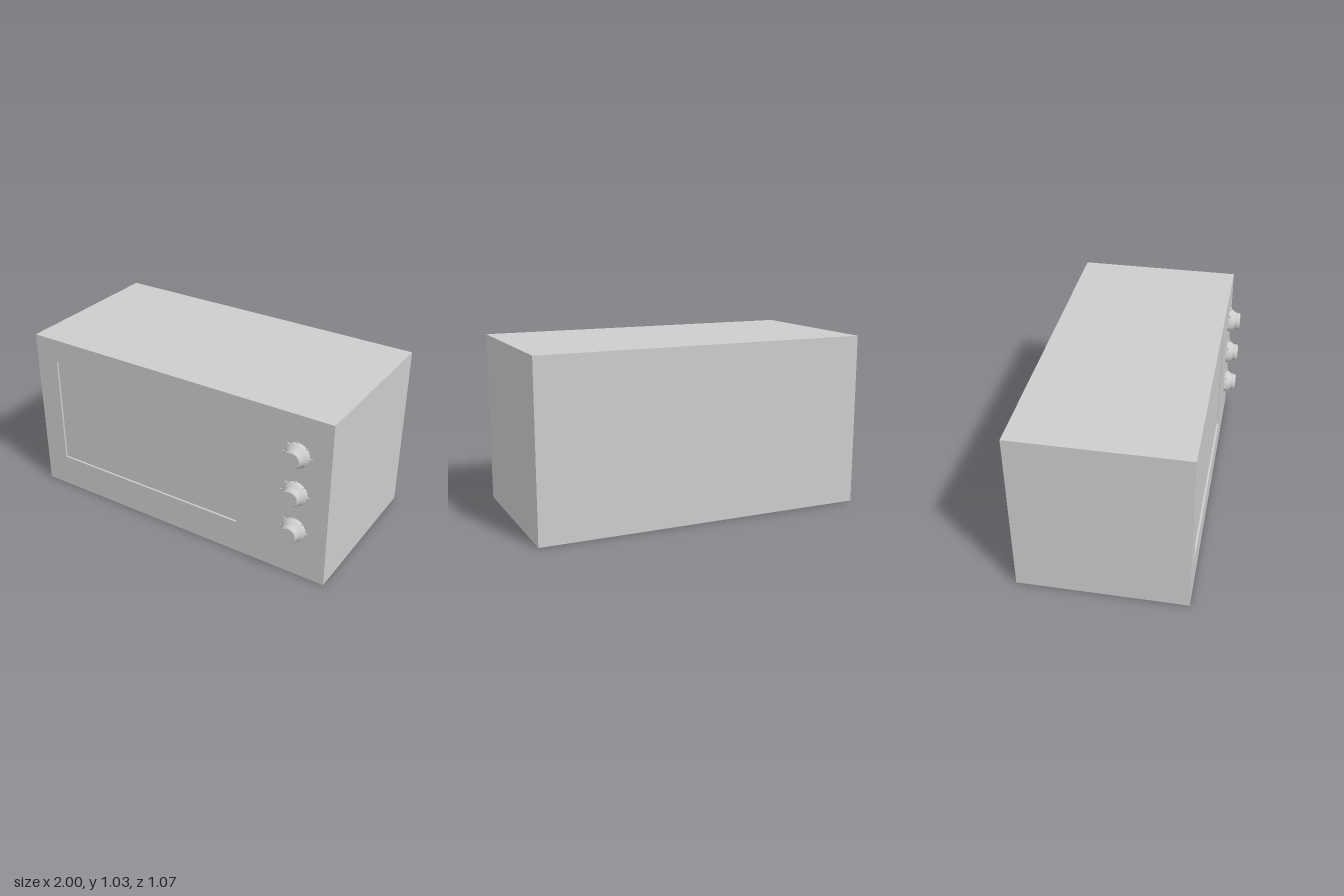
import * as THREE from 'three';

const WIDTH = 2, HEIGHT = 1.027, BACK = -0.533, FRONT = 0.463;
const DOOR = { x0: -0.85, x1: 0.43, y0: 0.205, y1: 0.887, depth: 0.012 };

// Box with one of its six faces left out (0 +x, 1 -x, 2 +y, 3 -y, 4 +z, 5 -z)
function openBox(w, h, d, face) {
  const geo = new THREE.BoxGeometry(w, h, d);
  const index = Array.from(geo.index.array);
  index.splice(face * 6, 6);
  geo.setIndex(index);
  geo.clearGroups();
  return geo;
}

export function createModel() {
  const grey = new THREE.MeshStandardMaterial({ color: 0xcccccc });
  grey.name = 'light grey';
  const model = new THREE.Group();
  model.name = 'microwaveOven';

  const add = (parent, name, geo, x = 0, y = 0, z = 0) => {
    const mesh = new THREE.Mesh(geo, grey);
    mesh.name = name;
    mesh.position.set(x, y, z);
    parent.add(mesh);
    return mesh;
  };

  // Casing, open at the front
  add(model, 'casing', openBox(WIDTH, HEIGHT, FRONT - BACK, 4), 0, HEIGHT / 2, (FRONT + BACK) / 2);

  // Front panel with an opening for the door
  const panel = new THREE.Shape();
  panel.moveTo(-1, 0).lineTo(1, 0).lineTo(1, HEIGHT).lineTo(-1, HEIGHT).closePath();
  const hole = new THREE.Path();
  hole.moveTo(DOOR.x0, DOOR.y0).lineTo(DOOR.x0, DOOR.y1).lineTo(DOOR.x1, DOOR.y1).lineTo(DOOR.x1, DOOR.y0).closePath();
  panel.holes.push(hole);
  add(model, 'frontPanel', new THREE.ShapeGeometry(panel), 0, 0, FRONT);

  // Shallow door recess: a box turned inside out, open to the front
  const recess = openBox(DOOR.x1 - DOOR.x0, DOOR.y1 - DOOR.y0, DOOR.depth, 5);
  recess.scale(1, 1, -1);
  recess.computeVertexNormals();
  add(model, 'doorRecess', recess, (DOOR.x0 + DOOR.x1) / 2, (DOOR.y0 + DOOR.y1) / 2, FRONT - DOOR.depth / 2);

  // Knob outline (radius, distance from panel); repeated points keep edges sharp
  const side = [[0.073, 0], [0.073, 0.014], [0.069, 0.021], [0.0535, 0.043]];
  const grip = [[0.0535, 0.043], [0.0535, 0.06]];
  const bevel = [[0.0535, 0.06], [0.046, 0.072]];
  const cap = [[0.046, 0.072], [0, 0.072]];
  const spike = new THREE.ConeGeometry(Math.SQRT1_2, 1, 4, 1).rotateY(Math.PI / 4).toNonIndexed();
  spike.scale(0.012, 0.04, 0.015);
  spike.computeVertexNormals();

  for (const y of [0.79, 0.547, 0.307]) {
    const knob = new THREE.Group();
    knob.name = 'knob';
    knob.position.set(0.8, y, FRONT);
    model.add(knob);
    Object.entries({ side, grip, bevel, cap }).forEach(([name, pts]) => {
      const geo = new THREE.LatheGeometry(pts.map(([r, h]) => new THREE.Vector2(r, h)), 32);
      add(knob, 'knob' + name[0].toUpperCase() + name.slice(1), geo.rotateX(Math.PI / 2));
    });
    // Five pointed markers fanned over the upper half
    for (let i = 0; i < 5; i++) {
      const a = (i * Math.PI) / 4;
      const marker = add(knob, 'marker', spike, Math.cos(a) * 0.078, Math.sin(a) * 0.078, 0.0075);
      marker.rotation.z = a - Math.PI / 2;
    }
  }
  return model;
}
